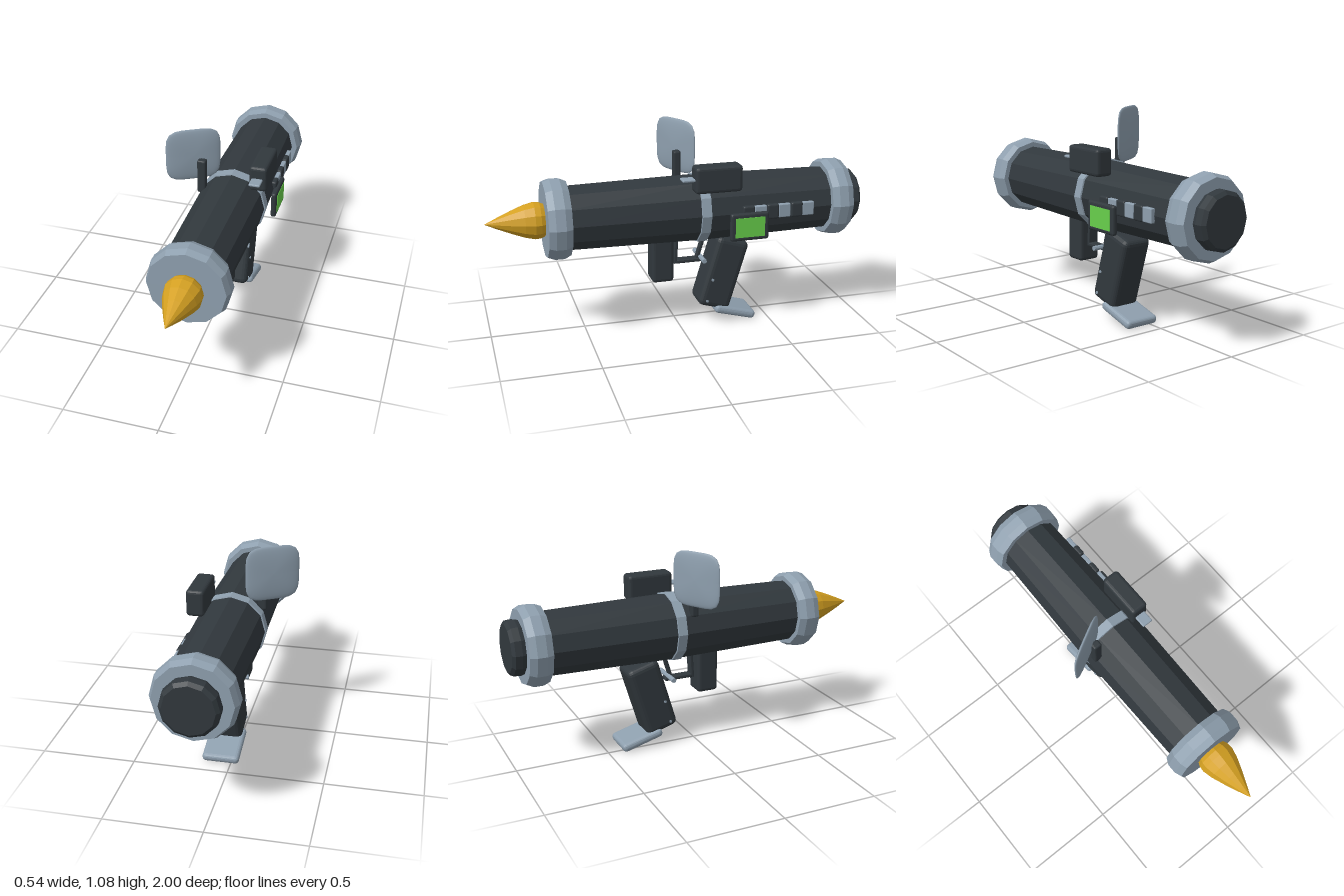
import * as THREE from 'three';
import { RoundedBoxGeometry } from 'three/addons/geometries/RoundedBoxGeometry.js';

const mat = (name, color, flatShading = false) => {
  const m = new THREE.MeshStandardMaterial({ color, flatShading });
  m.name = name;
  return m;
};

export function createModel() {
  const dark = mat('charcoal', 0x31383d, true);
  const steel = mat('blueGrey', 0x8e9fae, true);
  const steelSmooth = steel.clone();
  steelSmooth.flatShading = false;
  const gold = mat('gold', 0xd4a021, true);
  const green = mat('screenGreen', 0x68cf4b);

  const root = new THREE.Group();
  root.name = 'launcher';
  const CX = 0.055, CY = 0.65;

  const add = (name, geo, material, x, y, z, rx = 0) => {
    const m = new THREE.Mesh(geo, material);
    m.name = name;
    m.position.set(x, y, z);
    m.rotation.x = rx;
    root.add(m);
    return m;
  };
  // twelve-sided part along the barrel axis; profile is [radius, z], rear to front
  const turned = (name, profile, material) => {
    const pts = profile.map(([r, z]) => new THREE.Vector2(r, z));
    return add(name, new THREE.LatheGeometry(pts, 12).rotateX(Math.PI / 2), material, CX, CY, 0);
  };
  const block = (name, size, r, material, pos, rx = 0, seg = 2) =>
    add(name, new RoundedBoxGeometry(...size, seg, r), material, ...pos, rx);

  // barrel, collars and nose
  turned('barrel', [[0.168, -0.85], [0.18, -0.12], [0.168, 0.62]], dark);
  turned('middleBand', [[0.17, -0.145], [0.187, -0.14], [0.187, -0.09], [0.17, -0.085]], steel);
  for (const [name, z] of [['frontCollar', 0.64], ['rearCollar', -0.87]]) {
    turned(name, [[0, z - 0.06], [0.195, z - 0.06], [0.212, z - 0.025],
      [0.212, z + 0.025], [0.198, z + 0.06], [0, z + 0.06]], steel);
  }
  turned('rearCap', [[0, -1], [0.125, -1], [0.143, -0.985], [0.146, -0.95], [0.138, -0.92]], dark);
  turned('warhead', [[0.08, 0.69], [0.094, 0.72], [0.097, 0.75], [0.085, 0.8],
    [0.06, 0.865], [0.03, 0.935], [0, 1]], gold);

  // domed rounded-square shield
  const shield = new THREE.SphereGeometry(1, 32, 16).rotateX(Math.PI / 2);
  const p = shield.attributes.position;
  for (let i = 0; i < p.count; i++) {
    const x = p.getX(i), y = p.getY(i), rho = Math.hypot(x, y);
    if (rho < 1e-5) { p.setXYZ(i, 0, 0, p.getZ(i) * 0.018); continue; }
    const n = 4.5;
    const k = 0.145 / Math.pow(Math.pow(Math.abs(x / rho), n) + Math.pow(Math.abs(y / rho), n), 1 / n);
    p.setXYZ(i, x * k, y * k, p.getZ(i) * 0.018);
  }
  shield.computeVertexNormals();
  add('shield', shield, steelSmooth, -0.145, 0.943, -0.05).rotation.y = 0.51;
  block('shieldArm', [0.047, 0.19, 0.04], 0.01, dark, [-0.094, 0.83, -0.04]);

  // sight box with its small front tab
  block('sight', [0.095, 0.14, 0.25], 0.018, dark, [0.203, 0.845, -0.175]);
  block('sightTab', [0.06, 0.014, 0.08], 0.006, steel, [0.2, 0.845, -0.025]);

  // side display and button row
  block('displayFrame', [0.03, 0.15, 0.21], 0.013, dark, [0.25, 0.584, -0.34]);
  add('displayScreen', new THREE.BoxGeometry(0.004, 0.106, 0.16), green, 0.2655, 0.583, -0.34);
  for (let i = 0; i < 3; i++) {
    block('darkButton', [0.03, 0.08, 0.065], 0.01, dark, [0.232, 0.65, -0.34 - i * 0.133]);
    block('lightButton', [0.025, 0.072, 0.066], 0.005, steel, [0.231, 0.65, -0.405 - i * 0.132]);
  }

  // front grip, pistol grip and foot plate
  block('foreGrip', [0.12, 0.25, 0.118], 0.018, dark, [CX, 0.385, 0.088]);
  block('pistolGrip', [0.17, 0.4, 0.182], 0.03, dark, [CX, 0.28, -0.245], -0.29);
  block('footPlate', [0.195, 0.046, 0.235], 0.02, steel, [CX, 0.053, -0.312], -0.27);

  // trigger guard, trigger and cross pins
  block('guardFront', [0.05, 0.14, 0.018], 0.005, dark, [CX, 0.415, 0.008], -0.06);
  block('guardBottom', [0.05, 0.02, 0.16], 0.006, dark, [CX, 0.355, -0.07]);
  block('trigger', [0.03, 0.12, 0.02], 0.006, dark, [CX, 0.42, -0.13], -0.29);
  for (const [y, z, r, w] of [[0.37, -0.13, 0.013, 0.185], [0.255, -0.18, 0.008, 0.178], [0.135, -0.15, 0.008, 0.178]]) {
    add('crossPin', new THREE.CylinderGeometry(r, r, w, 8).rotateZ(Math.PI / 2), steel, CX, y, z);
  }
  return root;
}
